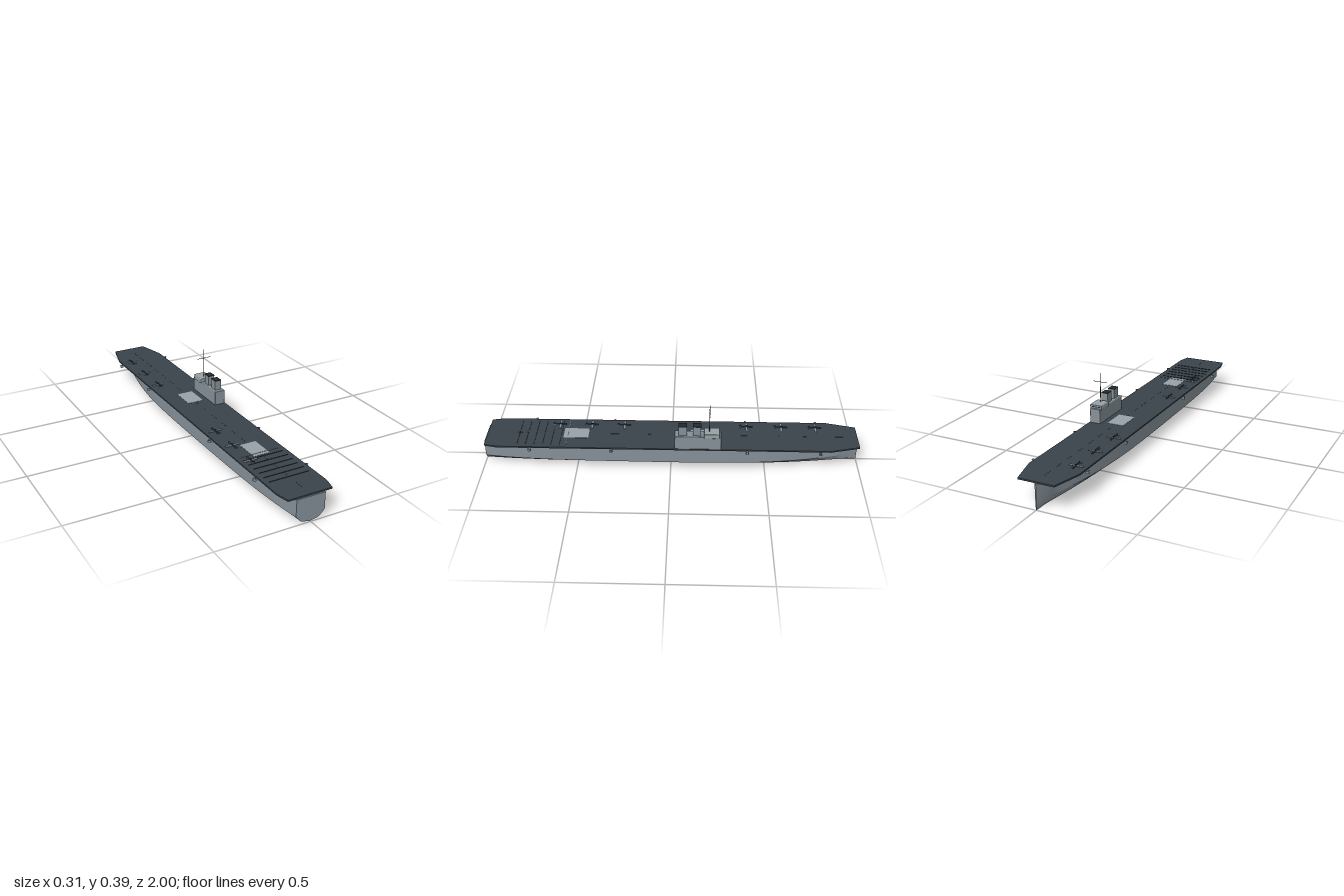
import * as THREE from 'three';
import { toCreasedNormals } from 'three/addons/utils/BufferGeometryUtils.js';
import { RoundedBoxGeometry } from 'three/addons/geometries/RoundedBoxGeometry.js';

const mat = (color) => new THREE.MeshStandardMaterial({ color });
const hullGrey = mat(0x87929a), deckGrey = mat(0x39434a), dark = mat(0x252b2f), pale = mat(0x98a2a8);

function add(parent, name, geometry, material, x = 0, y = 0, z = 0) {
  const mesh = new THREE.Mesh(geometry, material);
  mesh.name = name;
  mesh.position.set(x, y, z);
  parent.add(mesh);
  return mesh;
}
const box = (w, h, d) => new THREE.BoxGeometry(w, h, d);

// Hull: one chined section scaled in width along the ship
function hullGeometry() {
  const section = [[1, 0.133], [1, 0.043], [0.62, 0.012], [0, 0.002], [-0.62, 0.012], [-1, 0.043], [-1, 0.133]];
  const widths = new THREE.CatmullRomCurve3([
    [0.003, -1], [0.036, -0.88], [0.07, -0.73], [0.1, -0.53], [0.115, -0.28],
    [0.115, 0.3], [0.108, 0.65], [0.095, 0.85], [0.078, 0.995],
  ].map(([w, z]) => new THREE.Vector3(w, 0, z))).getPoints(32);
  const n = section.length, positions = [], index = [];
  for (const p of widths) for (const [s, y] of section) positions.push(s * p.x, y, p.z);
  for (let i = 0; i < widths.length - 1; i++) {
    for (let j = 0; j < n; j++) {
      const a = i * n + j, b = i * n + (j + 1) % n, c = b + n, d = a + n;
      index.push(a, d, c, a, c, b);
    }
  }
  const last = (widths.length - 1) * n;
  for (let k = 1; k < n - 1; k++) index.push(0, k, k + 1, last, last + k + 1, last + k);
  const g = new THREE.BufferGeometry();
  g.setAttribute('position', new THREE.Float32BufferAttribute(positions, 3));
  g.setIndex(index);
  return toCreasedNormals(g, 0.4);
}

// Flight deck outline, drawn as (x, -z) and laid flat
function deckGeometry() {
  const half = [[0.095, 0.996], [0.135, 0.84], [0.135, -0.92], [0.12, -0.988]];
  const outline = [...half, ...half.map(([x, y]) => [-x, y]).reverse()];
  const shape = new THREE.Shape(outline.map(([x, y]) => new THREE.Vector2(x, y)));
  return new THREE.ExtrudeGeometry(shape, { depth: 0.008, bevelEnabled: false }).rotateX(-Math.PI / 2);
}

function aircraft() {
  const plane = new THREE.Group();
  plane.name = 'aircraft';
  const body = new THREE.CylinderGeometry(0.0045, 0.002, 0.07, 8).rotateX(-Math.PI / 2);
  add(plane, 'fuselage', body, deckGrey, 0, 0.006, 0);
  add(plane, 'wing', box(0.075, 0.002, 0.013), hullGrey, 0, 0.005, -0.003);
  add(plane, 'tailplane', box(0.026, 0.0015, 0.007), hullGrey, 0, 0.006, 0.03);
  add(plane, 'fin', box(0.0015, 0.009, 0.008), deckGrey, 0, 0.01, 0.03);
  add(plane, 'canopy', new THREE.SphereGeometry(0.0035, 8, 6).scale(1, 1, 2), dark, 0, 0.0105, -0.004);
  return plane;
}

function gunTub(side) {
  const tub = new THREE.Group();
  tub.name = 'gunTub';
  add(tub, 'platform', new THREE.CylinderGeometry(0.0095, 0.0095, 0.005, 12), hullGrey, 0, 0.0025, 0);
  add(tub, 'mount', new THREE.CylinderGeometry(0.007, 0.008, 0.009, 12), hullGrey, 0, 0.0085, 0);
  for (const dz of [-0.003, 0.003]) {
    const barrel = add(tub, 'barrel', new THREE.CylinderGeometry(0.001, 0.001, 0.014, 6), dark, side * 0.003, 0.0125, dz);
    barrel.rotation.z = Math.PI / 2;
  }
  return tub;
}

function island() {
  const g = new THREE.Group();
  g.name = 'island';
  g.position.x = 0.103;
  add(g, 'islandBlock', new RoundedBoxGeometry(0.059, 0.079, 0.245, 2, 0.004), hullGrey, 0, 0.178, -0.1425);
  add(g, 'bridge', new RoundedBoxGeometry(0.067, 0.027, 0.082, 2, 0.004), pale, 0, 0.2225, -0.215);
  add(g, 'bridgeWindows', box(0.05, 0.004, 0.002), dark, 0, 0.226, -0.2562);
  for (const z of [-0.063, -0.137]) {
    add(g, 'funnel', box(0.035, 0.056, 0.043), hullGrey, 0, 0.241, z);
    add(g, 'funnelCap', box(0.037, 0.004, 0.045), dark, 0, 0.27, z);
  }
  add(g, 'mast', new THREE.CylinderGeometry(0.0014, 0.002, 0.16, 8), dark, 0, 0.314, -0.202);
  add(g, 'yard', box(0.08, 0.002, 0.002), dark, 0, 0.345, -0.202);
  return g;
}

export function createModel() {
  const ship = new THREE.Group();
  ship.name = 'aircraftCarrier';
  add(ship, 'hull', hullGeometry(), hullGrey);
  add(ship, 'flightDeck', deckGeometry(), deckGrey, 0, 0.133, 0);
  ship.add(island());

  // Deck fittings
  for (const z of [-0.172, 0.51]) add(ship, 'elevator', box(0.09, 0.002, 0.133), pale, 0, 0.1412, z);
  for (let i = 0; i < 6; i++) add(ship, 'arrestorWire', box(0.22, 0.002, 0.003), dark, 0, 0.1422, 0.59 + i * 0.045);
  add(ship, 'barrier', box(0.22, 0.002, 0.003), hullGrey, 0, 0.1427, 0.555);
  for (let i = 0; i < 19; i++) add(ship, 'centreDash', box(0.003, 0.001, 0.05), deckGrey, 0, 0.1413, -0.9 + i * 0.1);

  // Parked aircraft
  for (const z of [-0.775, -0.59, -0.403, 0.258, 0.435, 0.608]) {
    const plane = aircraft();
    plane.position.set(-0.08, 0.141, z);
    ship.add(plane);
  }
  // Gun tubs along both deck edges
  for (const side of [-1, 1]) for (const z of [-0.785, -0.402, 0.313, 0.745]) {
    const tub = gunTub(side);
    tub.position.set(side * 0.1435, 0.123, z);
    ship.add(tub);
  }
  return ship;
}
